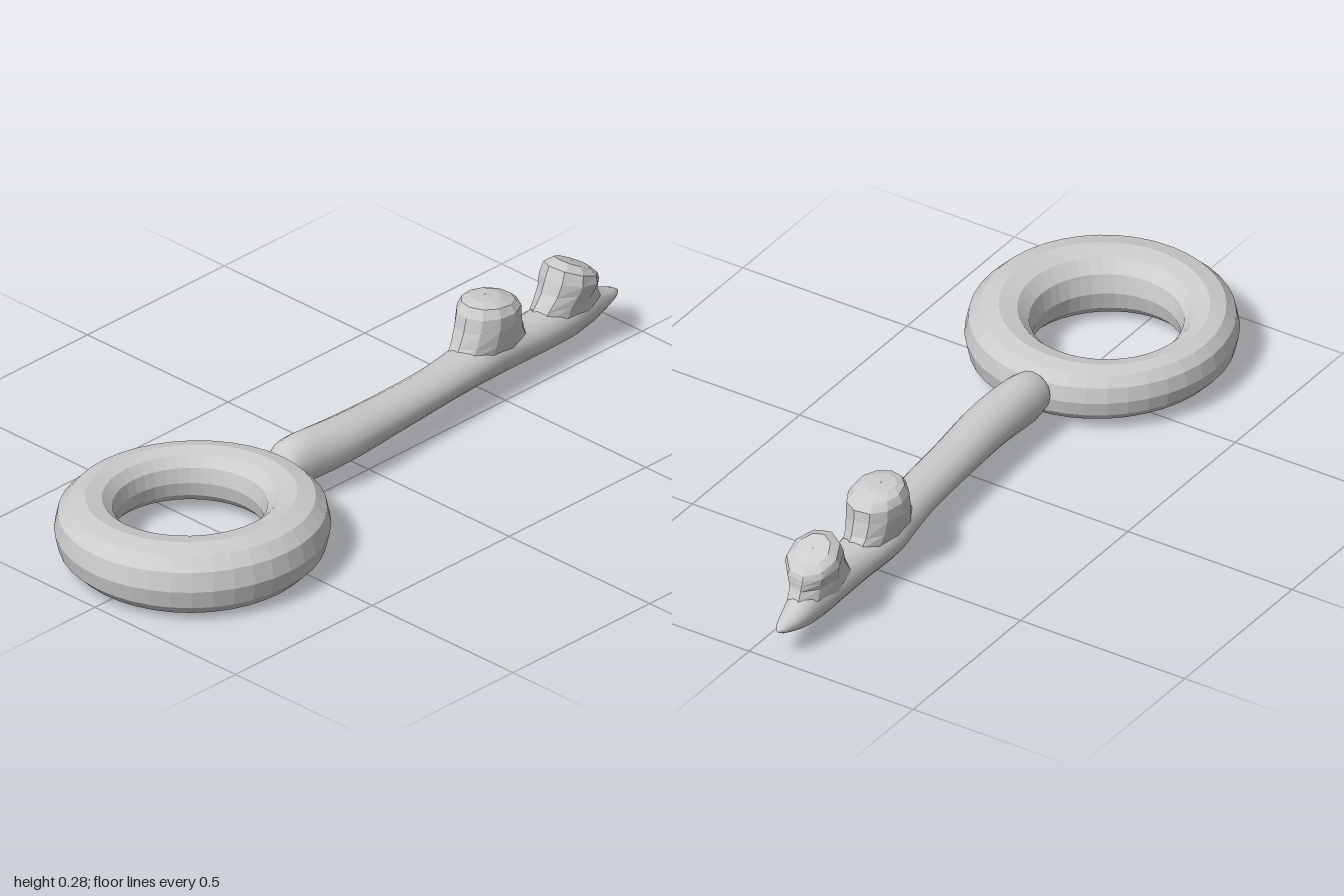
import * as THREE from 'three';

// Skin a grid of points: rows of rings, each ring closed; optionally close the rows too
function skin(name, rows, sides, point, { closed = false, flat = false } = {}) {
  const pos = [], idx = [];
  for (let i = 0; i < rows; i++)
    for (let j = 0; j < sides; j++) pos.push(...point(i, (j / sides) * Math.PI * 2));
  for (let i = 0; i < (closed ? rows : rows - 1); i++)
    for (let j = 0; j < sides; j++) {
      const k = (j + 1) % sides, n = (i + 1) % rows;
      const a = i * sides + j, b = i * sides + k, c = n * sides + j, d = n * sides + k;
      idx.push(a, c, b, b, c, d);
    }
  const geo = new THREE.BufferGeometry();
  geo.setAttribute('position', new THREE.Float32BufferAttribute(pos, 3));
  geo.setIndex(idx);
  geo.computeVertexNormals();
  const mesh = new THREE.Mesh(geo, new THREE.MeshStandardMaterial({ color: 0xcccccc, flatShading: flat }));
  mesh.name = name;
  return mesh;
}

// Uneven ring handle: the hole sits off-centre, so the band is thicker at front left
function makeRing() {
  const rows = 40;
  const soft = (v) => Math.sign(v) * Math.abs(v) ** 0.88;
  return skin('ringHandle', rows, 12, (i, phi) => {
    const t = (i / rows) * Math.PI * 2, c = Math.cos(t), s = Math.sin(t);
    const outer = [-0.003 + 0.348 * c, 0.64 - 0.36 * s];
    const inner = [-0.027 + 0.188 * c, 0.625 - 0.19 * s];
    const h = 0.084 + 0.01 * c - 0.005 * s;
    const f = (1 + soft(Math.cos(phi))) / 2;
    return [
      inner[0] + (outer[0] - inner[0]) * f,
      0.095 + h * soft(Math.sin(phi)),
      inner[1] + (outer[1] - inner[1]) * f,
    ];
  }, { closed: true, flat: true });
}

// Slightly bent shaft with a pointed tip; sections are [z, x, y, half width, half height]
function makeShaft() {
  const S = [
    [0.305, -0.03, 0.11, 0.001, 0.001], [0.298, -0.03, 0.11, 0.033, 0.033],
    [0.275, -0.031, 0.113, 0.053, 0.058], [0.22, -0.028, 0.112, 0.06, 0.069],
    [0.08, -0.022, 0.112, 0.065, 0.061], [-0.1, -0.033, 0.108, 0.062, 0.053],
    [-0.28, -0.046, 0.107, 0.061, 0.049], [-0.4, -0.06, 0.107, 0.065, 0.052],
    [-0.5, -0.072, 0.108, 0.07, 0.06], [-0.64, -0.072, 0.098, 0.06, 0.054],
    [-0.78, -0.075, 0.098, 0.058, 0.056], [-0.88, -0.083, 0.095, 0.045, 0.048],
    [-0.94, -0.086, 0.09, 0.031, 0.028], [-0.98, -0.086, 0.089, 0.017, 0.014],
    [-1, -0.086, 0.088, 0.001, 0.001],
  ];
  // straight-line positions, eased with a smooth curve between sections
  const steps = 4, rows = (S.length - 1) * steps + 1;
  const centre = new THREE.CatmullRomCurve3(S.map((s) => new THREE.Vector3(s[1], s[2], s[0])));
  const size = new THREE.CatmullRomCurve3(S.map((s) => new THREE.Vector3(s[3], s[4], 0)));
  return skin('shaft', rows, 16, (i, a) => {
    const p = centre.getPoint(i / (rows - 1)), r = size.getPoint(i / (rows - 1));
    return [p.x + r.x * Math.cos(a), p.y + r.y * Math.sin(a), p.z];
  });
}

// Knobbly tooth; sections are [y, x, z, half width, half depth, slope of y along z]
function makeTooth(name, S, sides) {
  return skin(name, S.length, sides, (i, a) => {
    const [y, x, z, rx, rz, slope] = S[i];
    const dz = rz * Math.sin(a + 0.3);
    return [x + rx * Math.cos(a + 0.3), y + slope * dz, z + dz];
  }, { flat: true });
}

export function createModel() {
  const key = new THREE.Group();
  key.name = 'key';
  key.add(makeRing(), makeShaft());

  key.add(makeTooth('frontTooth', [
    [0.09, -0.07, -0.5, 0.05, 0.13, 0],
    [0.14, -0.072, -0.508, 0.064, 0.13, 0],
    [0.165, -0.073, -0.508, 0.07, 0.112, 0],
    [0.205, -0.074, -0.511, 0.076, 0.098, 0],
    [0.24, -0.074, -0.514, 0.076, 0.092, 0.05],
    [0.262, -0.076, -0.513, 0.064, 0.074, 0.1],
    [0.273, -0.08, -0.508, 0.042, 0.042, 0.06],
    [0.275, -0.08, -0.508, 0.001, 0.001, 0],
  ], 11));

  key.add(makeTooth('backTooth', [
    [0.08, -0.08, -0.79, 0.045, 0.12, 0],
    [0.125, -0.078, -0.79, 0.056, 0.125, 0],
    [0.155, -0.077, -0.795, 0.058, 0.105, 0],
    [0.18, -0.077, -0.808, 0.066, 0.09, 0.1],
    [0.205, -0.077, -0.814, 0.074, 0.082, 0.25],
    [0.228, -0.078, -0.82, 0.068, 0.072, 0.42],
    [0.243, -0.08, -0.826, 0.046, 0.046, 0.5],
    [0.246, -0.08, -0.826, 0.001, 0.001, 0.5],
  ], 9));

  return key;
}
